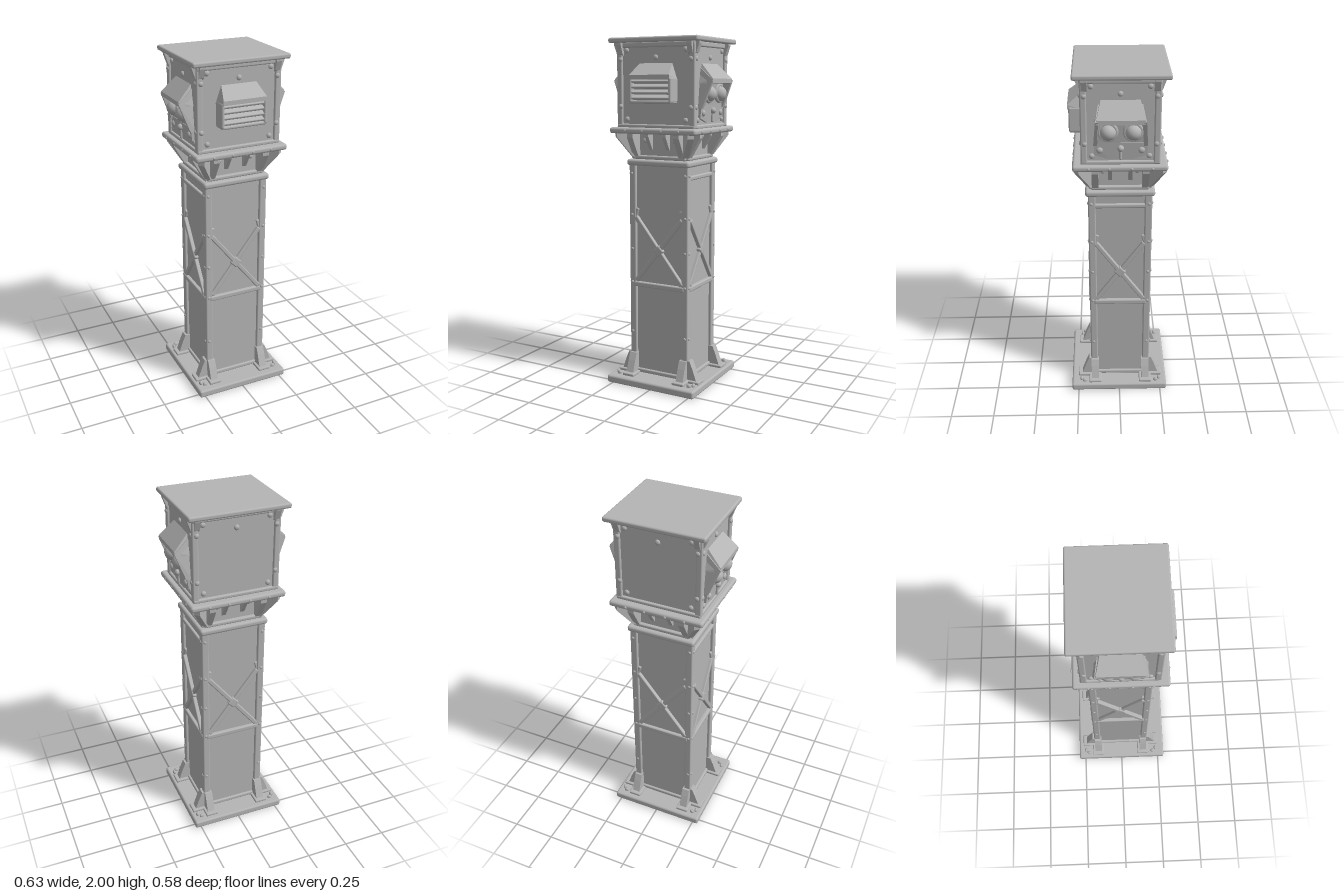
import * as THREE from 'three';
import { RoundedBoxGeometry } from 'three/addons/geometries/RoundedBoxGeometry.js';
import { ConvexGeometry } from 'three/addons/geometries/ConvexGeometry.js';

const grey = new THREE.MeshStandardMaterial({ color: 0xb4b4b4 });
grey.name = 'bare grey metal';

function add(parent, name, geometry, x = 0, y = 0, z = 0) {
  const mesh = new THREE.Mesh(geometry, grey);
  mesh.name = name;
  mesh.position.set(x, y, z);
  parent.add(mesh);
  return mesh;
}

// Softly rounded block given by its size and centre
function block(parent, name, w, h, d, x, y, z, r = 0.008) {
  const radius = Math.min(r, Math.min(w, h, d) * 0.45);
  return add(parent, name, new RoundedBoxGeometry(w, h, d, 2, radius), x, y, z);
}

// Bar between two points on a wall, at depth z
function strut(parent, name, x1, y1, x2, y2, z, w, d) {
  const bar = block(parent, name, Math.hypot(x2 - x1, y2 - y1), w, d, (x1 + x2) / 2, (y1 + y2) / 2, z, 0.006);
  bar.rotation.z = Math.atan2(y2 - y1, x2 - x1);
}

function rivet(parent, x, y, z, r = 0.012) {
  add(parent, 'rivet', new THREE.SphereGeometry(r, 10, 8), x, y, z).scale.z = 0.7;
}

// Convex solid mirrored across x; points are [half width, y, z]
function hull(parent, name, points) {
  const all = points.flatMap(([x, y, z]) => [new THREE.Vector3(x, y, z), new THREE.Vector3(-x, y, z)]);
  return add(parent, name, new ConvexGeometry(all));
}

// Upright fin: a side outline of [z, y] points, extruded across x
function fin(parent, name, x, thickness, outline) {
  const points = outline.flatMap(([z, y]) => [-1, 1].map(s => new THREE.Vector3(s * thickness / 2, y, z)));
  return add(parent, name, new ConvexGeometry(points), x);
}

// Four walls, each facing local +z: front, left, back, right
function walls(parent, build) {
  for (let k = 0; k < 4; k++) {
    const wall = new THREE.Group();
    wall.name = ['front', 'left', 'back', 'right'][k] + 'Side';
    wall.rotation.y = k * Math.PI / 2;
    parent.add(wall);
    build(wall, k % 2 === 0, k);
  }
}

function buildShaft(parent) {
  block(parent, 'shaftCore', 0.345, 1.26, 0.325, 0, 0.67, 0);
  for (const sx of [-1, 1]) for (const sz of [-1, 1]) {
    block(parent, 'cornerPost', 0.042, 1.26, 0.042, sx * 0.169, 0.67, sz * 0.157);
  }
  block(parent, 'collar', 0.4, 0.035, 0.385, 0, 1.305, 0, 0.014);
  walls(parent, (wall, alongX, k) => {
    const half = alongX ? 0.19 : 0.178;      // half width of this wall
    const d = alongX ? 0.178 : 0.19;         // distance of this wall from the axis
    const inner = half - 0.04;
    block(wall, 'lowerRail', inner * 2 + 0.03, 0.03, 0.03, 0, 0.59, d - 0.012);
    block(wall, 'footRail', inner * 2 + 0.03, 0.025, 0.02, 0, 0.06, d - 0.014);
    if (!alongX) block(wall, 'upperRail', inner * 2 + 0.03, 0.025, 0.025, 0, 1.225, d - 0.014);
    // Cross brace
    for (const s of [-1, 1]) {
      strut(wall, 'crossBrace', -s * inner, 0.61, s * inner, 0.99, d - 0.01 - s * 0.002, 0.026, 0.026);
      strut(wall, 'braceGusset', s * (inner + 0.01), 0.97, s * (inner - 0.01), 1.04, d - 0.012, 0.02, 0.015);
      for (const y of [0.3, 0.6, 0.8, 1.0, 1.24]) rivet(wall, s * (half - 0.018), y, d, 0.009);
    }
    block(wall, 'braceBoss', 0.05, 0.05, 0.03, 0, 0.8, d - 0.008).rotation.z = Math.PI / 4;
    // Foot fins and anchor bolts
    for (const s of [-1, 1]) {
      const x = s * (half - 0.025);
      fin(wall, 'footFin', x, 0.045, [[d - 0.02, 0.04], [d - 0.02, 0.172], [d + 0.012, 0.172], [d + 0.03, 0.13], [d + 0.062, 0.04]]);
      block(wall, 'footPad', 0.075, 0.018, 0.085, x, 0.052, d + 0.035, 0.006);
      rivet(wall, s * (half + 0.04), 0.05, d + 0.06, 0.014);
    }
  });
}

function buildNeck(parent) {
  block(parent, 'neckCore', 0.33, 0.18, 0.31, 0, 1.4, 0);
  block(parent, 'headPlate', 0.545, 0.034, 0.51, 0, 1.488, 0.002, 0.014);
  walls(parent, (wall, alongX) => {
    const half = alongX ? 0.165 : 0.155, d = alongX ? 0.155 : 0.165;
    block(wall, 'neckRail', half * 2 + 0.01, 0.022, 0.03, 0, 1.335, d + 0.004);
    for (const s of [-1, 1]) {
      fin(wall, 'cornerFin', s * (half - 0.018), 0.036, [[d - 0.02, 1.34], [d + 0.02, 1.34], [d + 0.03, 1.39], [d + 0.085, 1.45], [d + 0.085, 1.475], [d - 0.02, 1.475]]);
      fin(wall, 'middleFin', s * 0.055, 0.022, [[d - 0.02, 1.38], [d + 0.008, 1.38], [d + 0.055, 1.455], [d + 0.055, 1.475], [d - 0.02, 1.475]]);
      rivet(wall, s * 0.095, 1.43, d, 0.014);
      for (const x of [0.06, 0.17]) rivet(wall, s * x, 1.488, d + (alongX ? 0.1 : 0.107), 0.008);
    }
  });
  // Diagonal brackets under the plate corners
  for (let k = 0; k < 4; k++) {
    const corner = new THREE.Group();
    corner.name = 'cornerBracket';
    corner.rotation.y = Math.PI / 4 + k * Math.PI / 2;
    parent.add(corner);
    fin(corner, 'diagonalFin', 0, 0.035, [[0.19, 1.33], [0.245, 1.34], [0.255, 1.39], [0.335, 1.45], [0.335, 1.475], [0.19, 1.475]]);
  }
}

function buildHoodRoof(wall, d, brimY) {
  hull(wall, 'hoodRoof', [
    [0.1, 1.865, d - 0.01], [0.1, 1.82, d - 0.01], [0.135, brimY - 0.02, d - 0.01],
    [0.125, brimY + 0.01, d + 0.078], [0.128, brimY - 0.014, d + 0.078],
  ]);
}

function buildVent(wall, d) {
  buildHoodRoof(wall, d, 1.785);
  hull(wall, 'ventBack', [[0.13, 1.79, d - 0.01], [0.13, 1.64, d - 0.01], [0.12, 1.78, d + 0.045], [0.12, 1.65, d + 0.035]]);
  for (const s of [-1, 1]) block(wall, 'ventCheek', 0.018, 0.135, 0.085, s * 0.124, 1.713, d + 0.03);
  block(wall, 'ventSill', 0.262, 0.018, 0.08, 0, 1.648, d + 0.03);
  for (let i = 0; i < 4; i++) {
    block(wall, 'louvre', 0.24, 0.015, 0.045, 0, 1.675 + i * 0.03, d + 0.048, 0.005).rotation.x = 0.45;
  }
}

function buildLampHousing(wall, d) {
  buildHoodRoof(wall, d, 1.765);
  hull(wall, 'lampBack', [[0.12, 1.77, d - 0.01], [0.13, 1.61, d - 0.01], [0.12, 1.76, d + 0.03], [0.13, 1.61, d + 0.012]]);
  hull(wall, 'lampApron', [[0.14, 1.63, d - 0.01], [0.14, 1.56, d - 0.01], [0.06, 1.535, d - 0.01], [0.14, 1.63, d + 0.018], [0.14, 1.56, d + 0.01], [0.06, 1.535, d + 0.01]]);
  for (const s of [-1, 1]) {
    // Cheek beside each lamp, spreading towards the bottom
    const at = (x, y, z) => new THREE.Vector3(s * x, y, z);
    add(wall, 'lampCheek', new ConvexGeometry([
      at(0.098, 1.84, d - 0.01), at(0.114, 1.84, d - 0.01), at(0.116, 1.765, d + 0.08), at(0.132, 1.765, d + 0.08),
      at(0.122, 1.615, d + 0.022), at(0.143, 1.615, d + 0.022), at(0.122, 1.615, d - 0.01), at(0.143, 1.615, d - 0.01),
    ]));
    add(wall, 'lampRim', new THREE.TorusGeometry(0.045, 0.01, 8, 24), s * 0.066, 1.695, d + 0.026);
    add(wall, 'lamp', new THREE.SphereGeometry(0.043, 20, 14), s * 0.066, 1.692, d + 0.026);
    rivet(wall, s * 0.11, 1.588, d + 0.014, 0.018);
  }
  add(wall, 'latchKnob', new THREE.SphereGeometry(0.018, 12, 8), 0, 1.6, d + 0.02);
  block(wall, 'latch', 0.016, 0.06, 0.02, 0, 1.565, d + 0.014);
}

function buildHead(parent) {
  block(parent, 'headCore', 0.465, 0.49, 0.395, 0, 1.74, 0);
  block(parent, 'roof', 0.56, 0.028, 0.508, 0, 1.986, -0.005, 0.01);
  block(parent, 'roofTrim', 0.49, 0.03, 0.425, 0, 1.96, 0);
  block(parent, 'headFoot', 0.49, 0.022, 0.425, 0, 1.513, 0);
  for (const sx of [-1, 1]) for (const sz of [-1, 1]) {
    block(parent, 'headPost', 0.035, 0.47, 0.035, sx * 0.229, 1.74, sz * 0.193);
  }
  walls(parent, (wall, alongX, k) => {
    const half = alongX ? 0.24 : 0.207, d = alongX ? 0.2 : 0.235;
    for (const s of [-1, 1]) {
      for (const y of [1.55, 1.93]) rivet(wall, s * (half - 0.055), y, d, 0.015);
      for (const y of [1.62, 1.88]) rivet(wall, s * (half - 0.018), y, d + 0.009, 0.014);
      fin(wall, 'eaveBracket', s * (half - 0.02), 0.03, [[d, 1.9], [d + 0.014, 1.91], [d + 0.032, 1.96], [d + 0.032, 1.976], [d, 1.976]]);
    }
    rivet(wall, 0, 1.89, d, 0.015);
    if (k === 0) buildVent(wall, d);
    if (!alongX) buildLampHousing(wall, d);
  });
}

export function createModel() {
  const model = new THREE.Group();
  model.name = 'watchPillar';
  block(model, 'basePlate', 0.57, 0.045, 0.58, 0, 0.0225, 0, 0.012);
  const tower = new THREE.Group();
  tower.name = 'tower';
  tower.position.z = -0.006;
  model.add(tower);
  buildShaft(tower);
  buildNeck(tower);
  buildHead(tower);
  return model;
}
